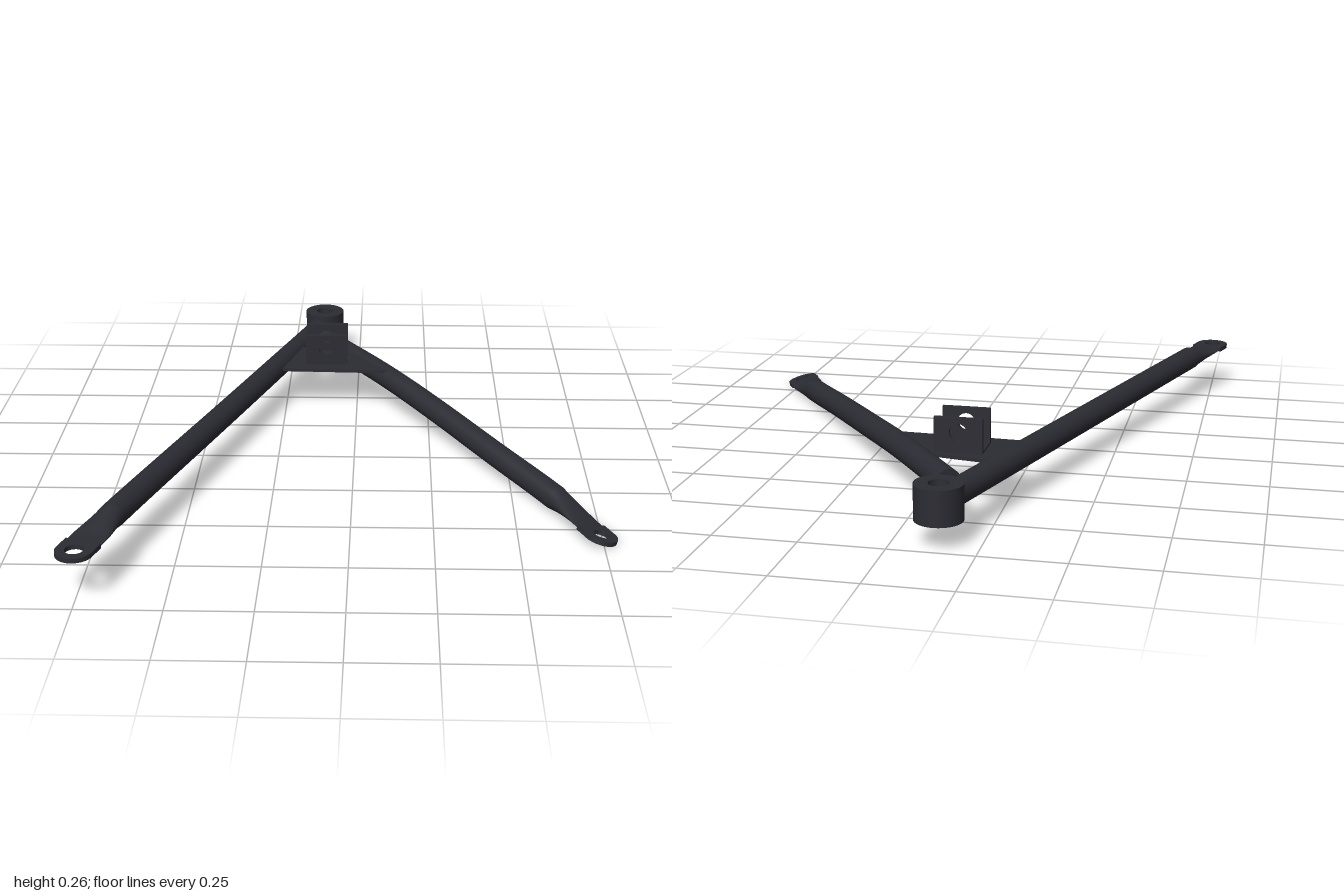
import * as THREE from 'three';
import { toCreasedNormals } from 'three/addons/utils/BufferGeometryUtils.js';

const V = (x, y, z) => new THREE.Vector3(x, y, z);
const metal = new THREE.MeshStandardMaterial({ color: 0x2b2b33 });
metal.name = 'dark painted steel';

function add(parent, name, geometry) {
  const mesh = new THREE.Mesh(geometry, metal);
  mesh.name = name;
  parent.add(mesh);
  return mesh;
}

function withHole(shape, x, y, r) {
  shape.holes.push(new THREE.Path().absarc(x, y, r, 0, Math.PI * 2, true));
  return shape;
}

function extrude(shape, depth) {
  const g = new THREE.ExtrudeGeometry(shape, { depth, bevelEnabled: false, curveSegments: 28 });
  g.translate(0, 0, -depth / 2);
  return toCreasedNormals(g, 0.6);
}

// Round tube along a path, pressed flat into a drilled eyelet at its far end
function makeArm(name, { points, up, radius, eyeR, holeR, full, flat }) {
  const arm = new THREE.Group();
  arm.name = name;
  const curve = new THREE.CatmullRomCurve3(points);
  const length = curve.getLength();
  const SIDES = 28, THIN = 0.007, OVERLAP = 0.05;
  const frame = (t) => {
    const T = curve.getTangentAt(t);
    const S = T.clone().cross(up).normalize();
    return { P: curve.getPointAt(t), T, S, U: S.clone().cross(T) };
  };

  // stations: coarse along the tube, fine over the pressed part
  const dists = [];
  for (let i = 0; i < 20; i++) dists.push(length + (full - length) * i / 20);
  for (let i = 0; i <= 14; i++) dists.push(full + (OVERLAP - full) * i / 14);

  const pos = [], index = [];
  dists.forEach((d, i) => {
    const { P, S, U } = frame(Math.max(0, 1 - d / length));
    const k = THREE.MathUtils.clamp((full - d) / (full - flat), 0, 1);
    const w = THREE.MathUtils.lerp(radius, eyeR, THREE.MathUtils.smoothstep(k, 0, 1));
    const h = THREE.MathUtils.lerp(radius, THIN, k);
    for (let j = 0; j < SIDES; j++) {
      const a = j / SIDES * Math.PI * 2;
      const v = P.clone().addScaledVector(S, Math.cos(a) * w).addScaledVector(U, -Math.sin(a) * h);
      pos.push(v.x, v.y, v.z);
      if (i === 0) continue;
      const n = (j + 1) % SIDES, a0 = (i - 1) * SIDES, b0 = i * SIDES;
      index.push(a0 + j, a0 + n, b0 + n, a0 + j, b0 + n, b0 + j);
    }
  });
  const tube = new THREE.BufferGeometry();
  tube.setAttribute('position', new THREE.Float32BufferAttribute(pos, 3));
  tube.setIndex(index);
  tube.computeVertexNormals();
  add(arm, 'tube', tube);

  // closed near end
  const s = frame(0);
  const cap = new THREE.CircleGeometry(radius, SIDES);
  cap.applyMatrix4(new THREE.Matrix4().makeBasis(s.S, s.U, s.T.clone().negate()).setPosition(s.P));
  add(arm, 'tubeEnd', cap);

  // drilled tab
  const shape = new THREE.Shape();
  shape.moveTo(-eyeR, -OVERLAP - 0.004);
  shape.lineTo(eyeR, -OVERLAP - 0.004);
  shape.lineTo(eyeR, 0);
  shape.absarc(0, 0, eyeR, 0, Math.PI, false);
  shape.closePath();
  const e = frame(1);
  const tab = extrude(withHole(shape, 0, 0, holeR), THIN * 2);
  tab.applyMatrix4(new THREE.Matrix4().makeBasis(e.S, e.T, e.U).setPosition(e.P));
  add(arm, 'eyelet', tab);
  return arm;
}

export function createModel() {
  const model = new THREE.Group();
  model.name = 'controlArm';

  // long straight arm
  model.add(makeArm('longArm', {
    points: [V(-0.156, 0.128, -0.867), V(-0.42, 0.139, -0.06), V(-0.677, 0.15, 0.72), V(-0.745, 0.15, 0.937)],
    up: V(0, 1, 0), radius: 0.039, eyeR: 0.054, holeR: 0.027, full: 0.23, flat: 0.09,
  }));

  // shorter, gently bowed arm with a tilted eyelet
  model.add(makeArm('shortArm', {
    points: [V(-0.122, 0.126, -0.765), V(0.105, 0.118, -0.43), V(0.264, 0.1, -0.19),
      V(0.45, 0.073, 0.1), V(0.636, 0.045, 0.385), V(0.742, 0.025, 0.578)],
    up: V(0.3, 1, 0), radius: 0.039, eyeR: 0.051, holeR: 0.025, full: 0.24, flat: 0.08,
  }));

  // bushing sleeve at the apex
  const ring = withHole(new THREE.Shape().absarc(0, 0, 0.07, 0, Math.PI * 2, false), 0, 0, 0.03);
  const bushing = add(model, 'bushingSleeve', extrude(ring, 0.105));
  bushing.rotation.x = -Math.PI / 2;
  bushing.position.set(-0.132, 0.128, -0.93);

  // gusset plate between the arms (shape y is -z)
  const gusset = new THREE.Shape([[-0.26, 0.41], [0.15, 0.395], [-0.02, 0.59], [-0.2, 0.62]]
    .map(([x, y]) => new THREE.Vector2(x, y)));
  const plate = add(model, 'gussetPlate', extrude(gusset, 0.01));
  plate.rotation.x = -Math.PI / 2;
  plate.position.y = 0.147;

  // U-shaped damper bracket: base and two drilled lugs
  const bracket = new THREE.Group();
  bracket.name = 'damperBracket';
  bracket.position.set(-0.108, 0.15, -0.515);
  const base = add(bracket, 'bracketBase', new THREE.BoxGeometry(0.145, 0.012, 0.128));
  base.position.y = 0.002;
  for (const side of [-1, 1]) {
    const lug = new THREE.Shape();
    lug.moveTo(-0.0725, 0);
    lug.lineTo(0.0725, 0);
    lug.lineTo(0.0725, 0.11);
    lug.lineTo(-0.0725, 0.11);
    lug.closePath();
    const mesh = add(bracket, 'bracketLug', extrude(withHole(lug, 0, 0.065, 0.027), 0.014));
    mesh.position.z = side * 0.058;
  }
  model.add(bracket);
  return model;
}
